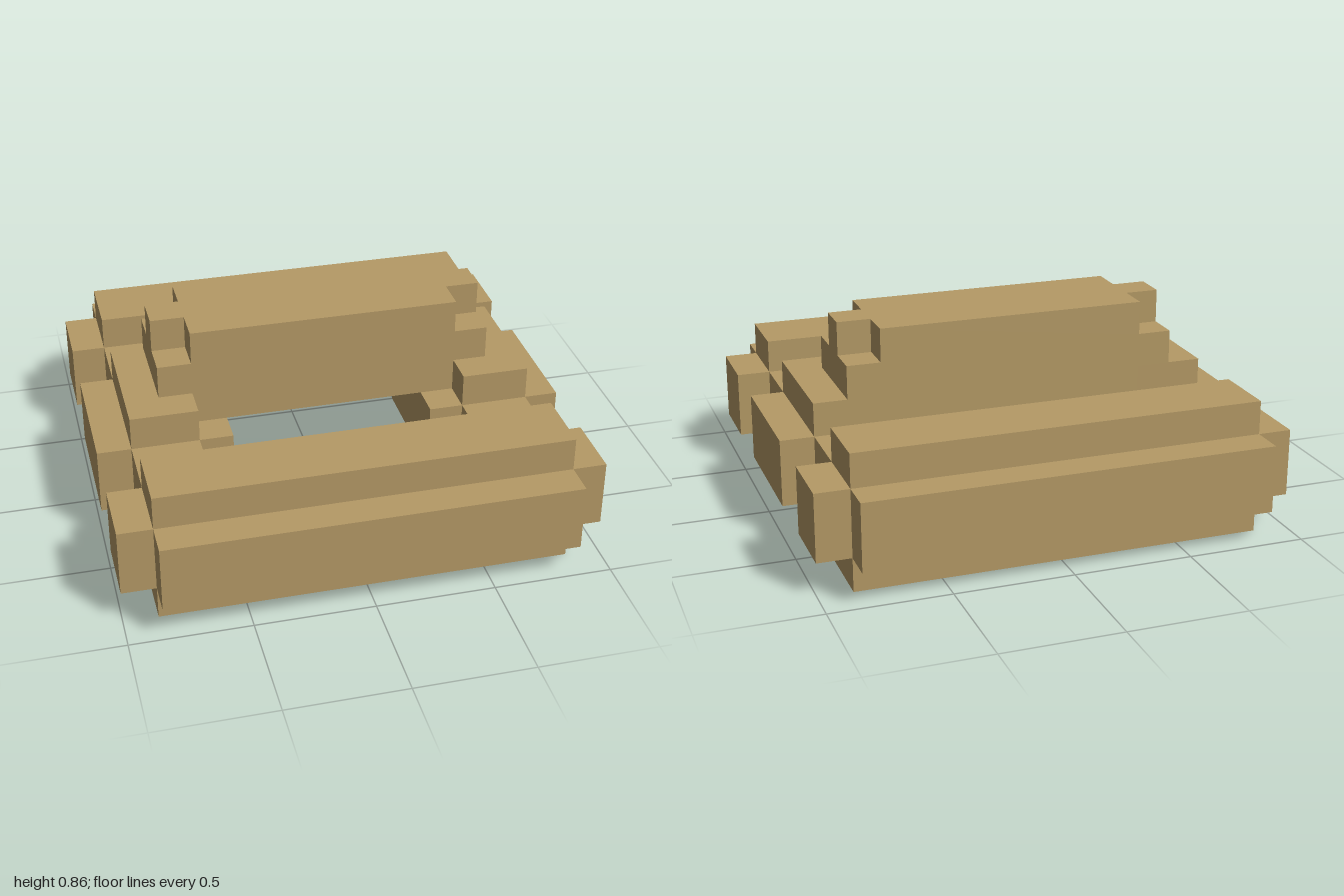
import * as THREE from 'three';

const U = 1 / 7; // one block unit

export function createModel() {
  const wood = new THREE.MeshStandardMaterial({ color: 0xb59a66 });
  wood.name = 'tan wood';
  const model = new THREE.Group();
  model.name = 'timberFrame';

  const add = (geometry, name, parent) => {
    const mesh = new THREE.Mesh(geometry, wood);
    mesh.name = name;
    parent.add(mesh);
    return mesh;
  };

  // box from its min and max corners, in block units
  const box = (name, parent, [x0, y0, z0], [x1, y1, z1]) =>
    add(new THREE.BoxGeometry((x1 - x0) * U, (y1 - y0) * U, (z1 - z0) * U)
      .translate((x0 + x1) / 2 * U, (y0 + y1) / 2 * U, (z0 + z1) / 2 * U), name, parent);

  // plus-shaped prism: outer half sizes a, b, with corners cut back to c, d; centred along z
  const plusPrism = (a, b, c, d, length) => {
    const quarter = [[a, -d], [a, d], [c, d], [c, b], [-c, b], [-c, d],
      [-a, d], [-a, -d], [-c, -d], [-c, -b], [c, -b], [c, -d]];
    const shape = new THREE.Shape(quarter.map(([x, y]) => new THREE.Vector2(x * U, y * U)));
    return new THREE.ExtrudeGeometry(shape, { depth: length * U, bevelEnabled: false })
      .translate(0, 0, -length * U / 2);
  };

  // front and rear beams with end stubs
  for (const s of [1, -1]) {
    const beam = new THREE.Group();
    beam.name = s > 0 ? 'frontBeam' : 'rearBeam';
    beam.position.set(0, 2 * U, s * 5 * U);
    model.add(beam);
    add(plusPrism(2, 2, 1, 1, 12).rotateY(Math.PI / 2), 'beamBody', beam);
    box('leftStub', beam, [6, -1, -1], [7, 1, 1]);
    box('rightStub', beam, [-7, -1, -1], [-6, 1, 1]);
  }

  // side blocks joining the two beams
  for (const s of [1, -1]) {
    const side = new THREE.Group();
    side.name = s > 0 ? 'leftSideBlock' : 'rightSideBlock';
    side.position.set(s * 5 * U, 2 * U, 0);
    model.add(side);
    add(plusPrism(2, 2, 1, 1, 4), 'blockBody', side);
    box('frontTenon', side, [-1, -1, 2], [1, 1, 3]);
    box('rearTenon', side, [-1, -1, -3], [1, 1, -2]);
  }

  // raised centre bar resting on the side blocks, with notched top corners
  const bar = new THREE.Group();
  bar.name = 'centreBar';
  model.add(bar);
  box('barSpan', bar, [-4, 3, -2], [4, 4, 1]);
  box('barBody', bar, [-5, 4, -2], [5, 5, 1]);
  add(plusPrism(5, 1.5, 4, 0.5, 1).rotateX(-Math.PI / 2)
    .translate(0, 5.5 * U, -0.5 * U), 'barTop', bar);

  return model;
}
